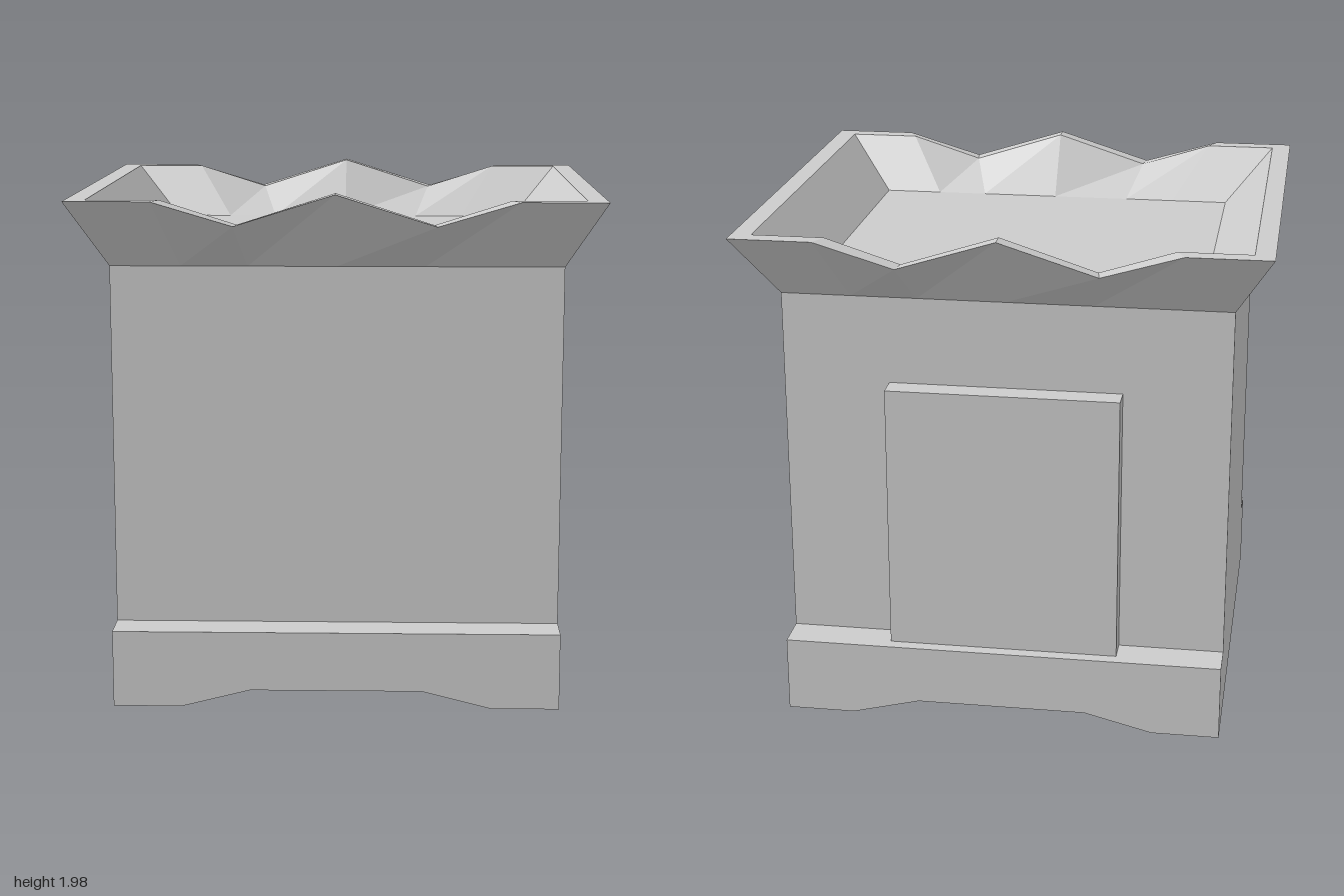
import * as THREE from 'three';
import { toCreasedNormals } from 'three/addons/utils/BufferGeometryUtils.js';

const material = new THREE.MeshStandardMaterial({ color: 0xcccccc });

// Closed ring: the profile runs left to right along the front, then back along the rear.
function ring(xs, ys, zFront, zBack = -zFront) {
  const front = xs.map((x, i) => new THREE.Vector3(x, ys[i], zFront));
  const back = xs.map((x, i) => new THREE.Vector3(x, ys[i], zBack)).reverse();
  return [...front, ...back];
}

// Skin joining successive rings, with optional strips closing the first and last ring.
function loft(rings, capStart, capEnd, creaseDegrees) {
  const positions = [];
  const tri = (a, b, c) => {
    const area = b.clone().sub(a).cross(c.clone().sub(a)).length();
    if (area > 1e-6) for (const p of [a, b, c]) positions.push(p.x, p.y, p.z);
  };
  const quad = (a, b, c, d) => { tri(a, b, c); tri(a, c, d); };
  const n = rings[0].length;
  for (let r = 0; r < rings.length - 1; r++) {
    const lo = rings[r], hi = rings[r + 1];
    for (let i = 0; i < n; i++) {
      const j = (i + 1) % n;
      quad(lo[i], lo[j], hi[j], hi[i]);
    }
  }
  const cap = (p, up) => {
    for (let i = 0; i < n / 2 - 1; i++) {
      const f0 = p[i], f1 = p[i + 1], b0 = p[n - 1 - i], b1 = p[n - 2 - i];
      if (up) quad(f0, f1, b1, b0);
      else quad(f0, b0, b1, f1);
    }
  };
  if (capStart) cap(rings[0], false);
  if (capEnd) cap(rings[rings.length - 1], true);
  const geometry = new THREE.BufferGeometry();
  geometry.setAttribute('position', new THREE.Float32BufferAttribute(positions, 3));
  return toCreasedNormals(geometry, THREE.MathUtils.degToRad(creaseDegrees));
}

export function createModel() {
  const group = new THREE.Group();
  const add = (name, geometry) => {
    const mesh = new THREE.Mesh(geometry, material);
    mesh.name = name;
    group.add(mesh);
    return mesh;
  };

  // Mirrors the right half of a profile (outermost first) to the left.
  const mirrorX = (half) => [...half.map((x) => -x), ...half.slice().reverse()];
  const mirrorY = (half) => [...half, ...half.slice().reverse()];

  // Plinth with arched lower edges and a hollow underside, stepping in to the body walls
  const wallX = mirrorX([0.858, 0.595, 0.33]);
  const flat = (y) => wallX.map(() => y);
  add('plinthAndBody', loft([
    ring(mirrorX([0.65, 0.65, 0.36]), mirrorY([0.145, 0.145, 0.265]), 0.765, -0.63),
    ring(wallX, mirrorY([0, 0, 0.067]), 0.857),
    ring(wallX, flat(0.298), 0.857),
    ring(wallX, flat(0.298), 0.71),
    ring(wallX, flat(1.69), 0.71),
  ], true, false, 30));

  // Raised panel on the back
  add('backPanel', new THREE.BoxGeometry(0.895, 1.052, 0.097)).position.set(0, 0.824, -0.7585);

  // Flared rim with zigzag front and back edges around a sunken tray
  const rimX = (a, b, c) => [-a, -b, -c, 0, c, b, a];
  const edge = [1.95, 1.95, 1.86, 1.977, 1.86, 1.95, 1.95];
  const level = (y) => edge.map(() => y);
  add('rim', loft([
    ring(rimX(0.858, 0.59, 0.335), level(1.69), 0.71),
    ring(rimX(1, 0.68, 0.375), edge, 0.912),
    ring(rimX(0.925, 0.65, 0.365), edge, 0.843),
    ring(rimX(0.738, 0.51, 0.31), level(1.743), 0.675),
  ], false, true, 6));

  return group;
}
